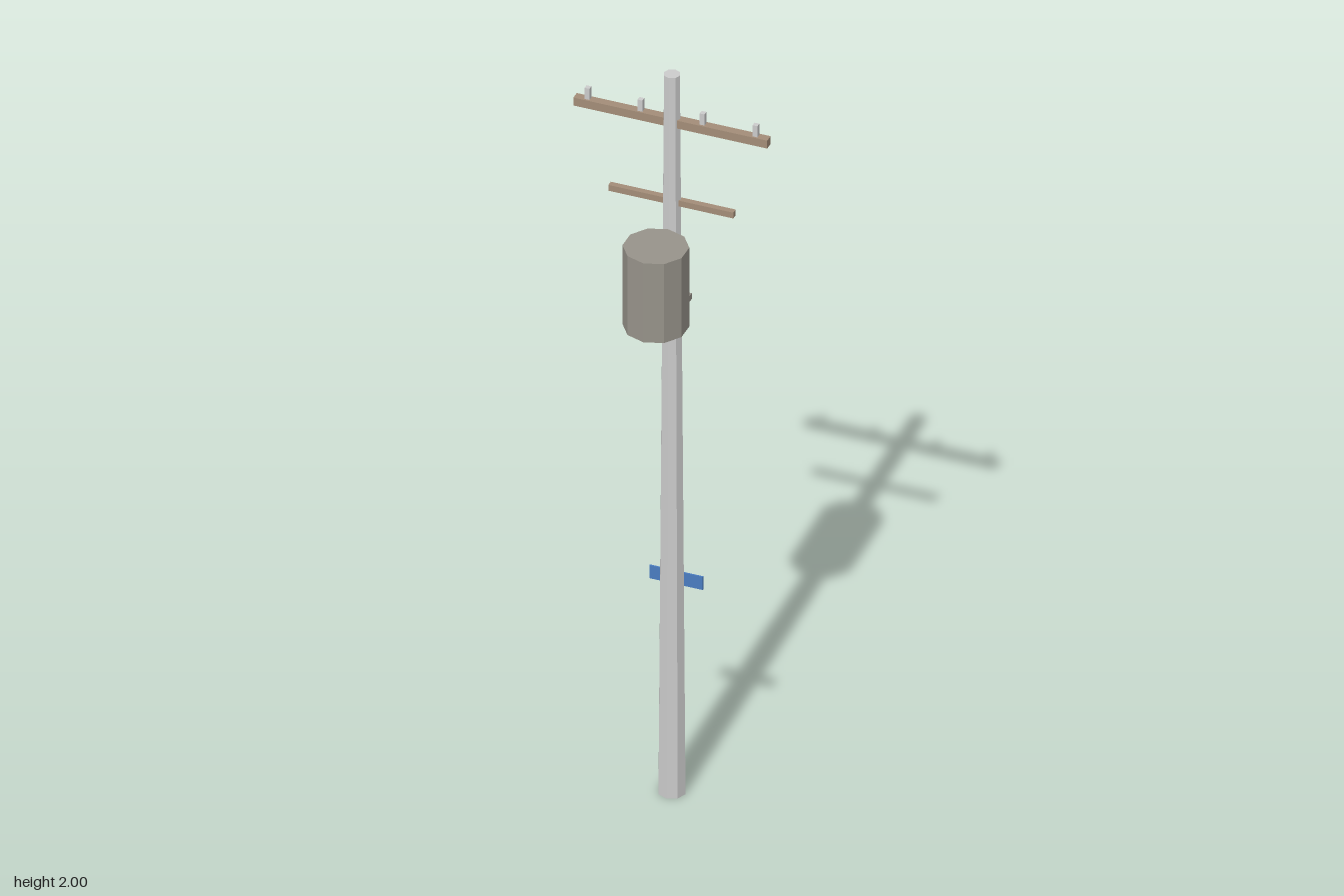
import * as THREE from 'three';

const POLE_Z = -0.073;

function material(color) {
  return new THREE.MeshStandardMaterial({ color, flatShading: true });
}

export function createModel() {
  const model = new THREE.Group();
  model.name = 'utilityPole';

  const grey = material(0xcccccc);
  const wood = material(0xa38d78);
  const metal = material(0x97938a);
  const blue = material(0x4a7cc0);

  function add(name, geometry, mat, x, y, z) {
    const mesh = new THREE.Mesh(geometry, mat);
    mesh.name = name;
    mesh.position.set(x, y, z);
    model.add(mesh);
  }
  const box = (w, h, d) => new THREE.BoxGeometry(w, h, d);

  // Tapered eight-sided pole
  add('pole', new THREE.CylinderGeometry(0.02, 0.034, 2, 8), grey, 0, 1, POLE_Z);

  // Upper and lower crossarms
  add('upperCrossarm', box(0.487, 0.022, 0.021), wood, 0, 1.869, POLE_Z);
  add('lowerCrossarm', box(0.314, 0.016, 0.015), wood, 0, 1.648, POLE_Z);

  // Insulator pegs standing on the upper crossarm
  for (const x of [-0.211, -0.078, 0.078, 0.211]) {
    add('insulator', box(0.012, 0.032, 0.012), grey, x, 1.895, POLE_Z);
  }

  // Ten-sided transformer drum and the bracket holding it
  add('transformer', new THREE.CylinderGeometry(0.078, 0.078, 0.22, 10), metal, 0, 1.47, 0.027);
  add('transformerBracket', box(0.11, 0.016, 0.042), metal, 0, 1.402, -0.039);

  // Thin sign plate on the back of the pole
  add('signPlate', box(0.134, 0.036, 0.004), blue, 0, 0.58, -0.1);

  return model;
}
